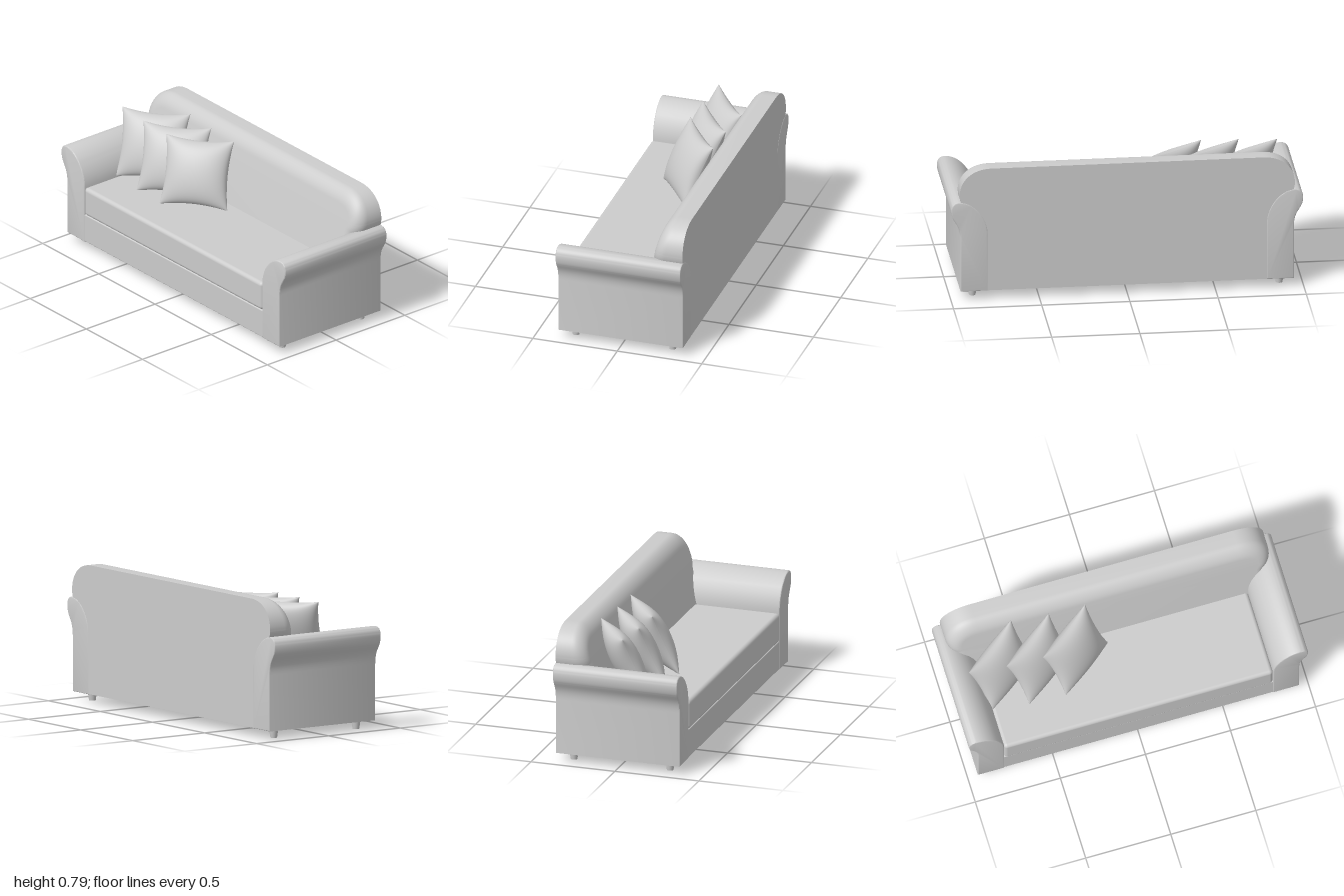
import * as THREE from 'three';
import { mergeGeometries, toCreasedNormals } from 'three/addons/utils/BufferGeometryUtils.js';
import { RoundedBoxGeometry } from 'three/addons/geometries/RoundedBoxGeometry.js';

const fabric = new THREE.MeshStandardMaterial({ color: 0xcccccc });
fabric.name = 'light grey fabric';

function add(parent, name, geometry, x = 0, y = 0, z = 0) {
  const mesh = new THREE.Mesh(geometry, fabric);
  mesh.name = name;
  mesh.position.set(x, y, z);
  parent.add(mesh);
  return mesh;
}

// Scroll arm: flared profile extruded front to back, drawn for the +x side
function armGeometry(side) {
  const s = new THREE.Shape();
  s.moveTo(0.79, 0.05);
  s.lineTo(0.945, 0.05);
  s.lineTo(0.945, 0.37);
  s.bezierCurveTo(0.945, 0.44, 0.975, 0.46, 0.99, 0.495);
  s.bezierCurveTo(1.005, 0.54, 1.0, 0.588, 0.95, 0.588);
  s.bezierCurveTo(0.87, 0.588, 0.79, 0.49, 0.79, 0.39);
  s.closePath();
  if (side < 0) {
    const mirrored = s.getPoints(14).map((p) => new THREE.Vector2(-p.x, p.y));
    s.curves = new THREE.Shape(mirrored).curves;
  }
  const b = 0.006;
  const g = new THREE.ExtrudeGeometry(s, {
    depth: 0.74 - 2 * b, curveSegments: 14,
    bevelThickness: b, bevelSize: b, bevelOffset: -b, bevelSegments: 3,
  });
  g.translate(0, 0, -0.372 + b);
  return toCreasedNormals(g, 0.6);
}

// Backrest: rounded outline, flat behind, soft rolled edge and sloped face in front
function backGeometry() {
  const s = new THREE.Shape();
  s.moveTo(-0.93, 0.052);
  s.lineTo(0.93, 0.052);
  s.lineTo(0.93, 0.56);
  s.quadraticCurveTo(0.95, 0.59, 0.95, 0.63);
  s.bezierCurveTo(0.95, 0.71, 0.89, 0.787, 0.77, 0.787);
  s.lineTo(-0.77, 0.787);
  s.bezierCurveTo(-0.89, 0.787, -0.95, 0.71, -0.95, 0.63);
  s.quadraticCurveTo(-0.95, 0.59, -0.93, 0.56);
  s.closePath();
  const r = 0.075, depth = 0.1;
  const g = new THREE.ExtrudeGeometry(s, {
    depth, curveSegments: 16,
    bevelThickness: r, bevelSize: r, bevelOffset: -r, bevelSegments: 9,
  });
  const p = g.attributes.position;
  for (let i = 0; i < p.count; i++) {
    const f = Math.max(0, p.getZ(i)) / (depth + r);
    const thickness = 0.24 - 0.265 * (p.getY(i) - 0.4);
    p.setZ(i, -0.37 + f * thickness);
  }
  return toCreasedNormals(g, 0.6);
}

// Throw pillow: two domed sheets meeting in a seam with pulled-out corners
function pillowGeometry() {
  const half = 0.198;
  const faces = [1, -1].map((side) => {
    const g = new THREE.PlaneGeometry(2, 2, 28, 28);
    if (side < 0) g.rotateY(Math.PI);
    const p = g.attributes.position;
    for (let i = 0; i < p.count; i++) {
      // crowd the grid towards the seam
      const u = Math.sin(p.getX(i) * Math.PI / 2), v = Math.sin(p.getY(i) * Math.PI / 2);
      const a = Math.max(0, 1 - u * u), b = Math.max(0, 1 - v * v);
      p.setXYZ(i,
        half * u * (1 - 0.1 * b * u * u),
        half * v * (1 - 0.1 * a * v * v),
        side * 0.078 * Math.pow(a * b, 0.5));
    }
    g.computeVertexNormals();
    return g;
  });
  return mergeGeometries(faces);
}

export function createModel() {
  const sofa = new THREE.Group();
  sofa.name = 'sofa';

  // Base and seat
  add(sofa, 'base', new RoundedBoxGeometry(1.6, 0.168, 0.72, 3, 0.006), 0, 0.135, 0.005);
  const seat = new RoundedBoxGeometry(1.582, 0.172, 0.66, 5, 0.022);
  add(sofa, 'seatCushion', seat, 0, 0.305, 0.042);

  add(sofa, 'backrest', backGeometry());
  add(sofa, 'leftArm', armGeometry(1));
  add(sofa, 'rightArm', armGeometry(-1));

  // Tapered legs
  const leg = new THREE.CylinderGeometry(0.027, 0.019, 0.056, 24);
  for (const x of [-0.87, 0.87]) {
    for (const z of [-0.287, 0.285]) add(sofa, 'leg', leg, x, 0.028, z);
  }

  // Three pillows leaning back at an angle
  const pillow = pillowGeometry();
  const spots = [[-0.685, -0.045], [-0.47, -0.022], [-0.258, -0.015]];
  for (const [x, z] of spots) {
    const mesh = add(sofa, 'pillow', pillow, x, 0.568, z);
    mesh.rotation.set(-0.42, 0.64, 0, 'YXZ');
  }
  return sofa;
}
